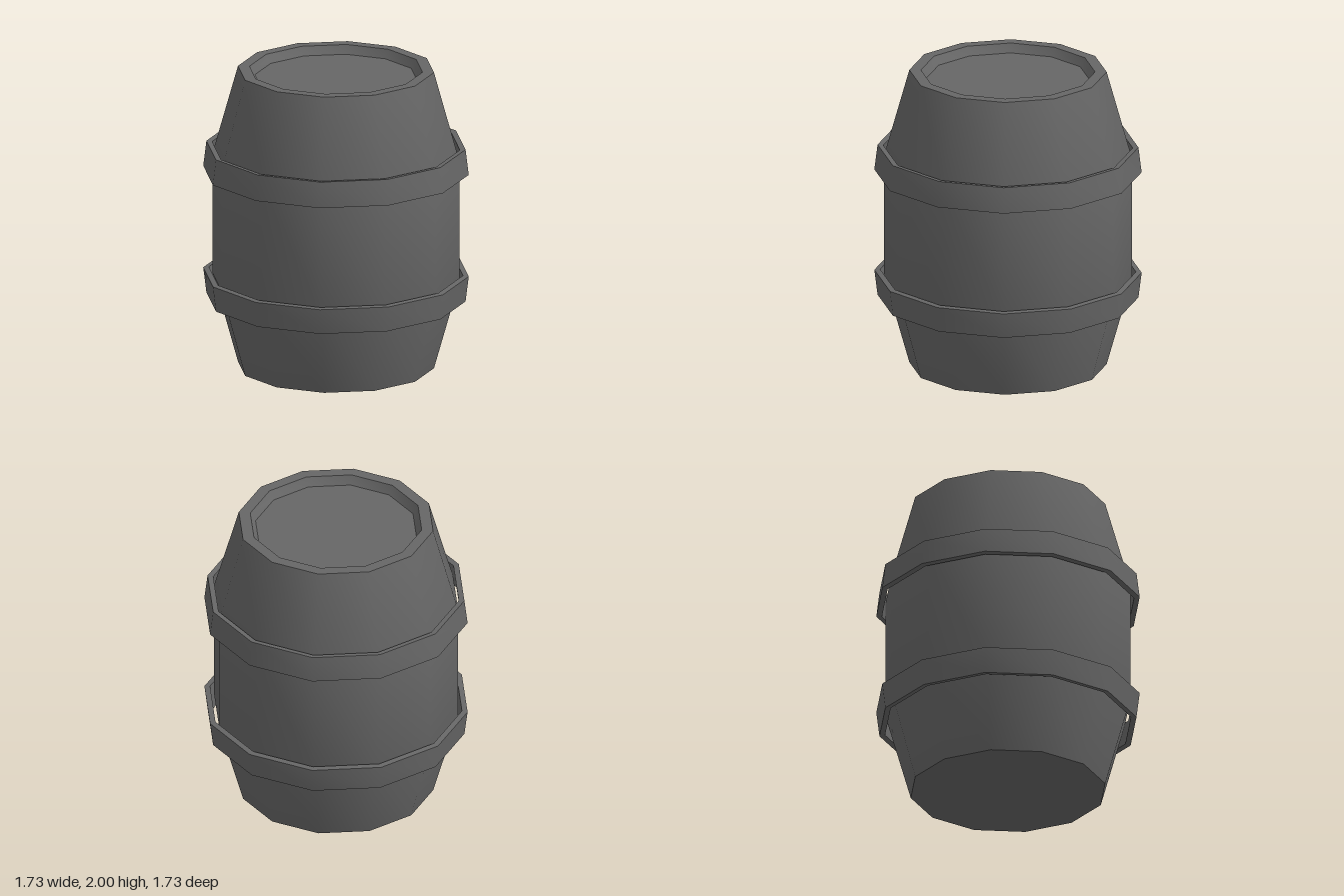
import * as THREE from 'three';
import { toCreasedNormals } from 'three/addons/utils/BufferGeometryUtils.js';

const SIDES = 12;
const material = new THREE.MeshStandardMaterial({ color: 0x666666 });

// Turn a [radius, height] profile (counter-clockwise) into a twelve-sided solid
function turned(name, profile) {
  const points = profile.map(([r, y]) => new THREE.Vector2(r, y));
  const geometry = toCreasedNormals(new THREE.LatheGeometry(points, SIDES), 0.62);
  const mesh = new THREE.Mesh(geometry, material);
  mesh.name = name;
  return mesh;
}

export function createModel() {
  const barrel = new THREE.Group();
  barrel.name = 'barrel';

  // Bulging body with a flat base, a rim and a recessed lid
  barrel.add(turned('body', [
    [0, 0], [0.64, 0], [0.805, 0.59], [0.805, 1.41], [0.64, 2],
    [0.565, 2], [0.53, 1.944], [0, 1.944],
  ]));

  // Loose hoops, leaning in towards the narrow ends
  const hoop = [[0.83, 1.311], [0.867, 1.316], [0.846, 1.486], [0.809, 1.482], [0.83, 1.311]];
  barrel.add(turned('upperHoop', hoop));
  const mirrored = hoop.map(([r, y]) => [r, 1.945 - y]).reverse();
  barrel.add(turned('lowerHoop', mirrored));

  return barrel;
}
